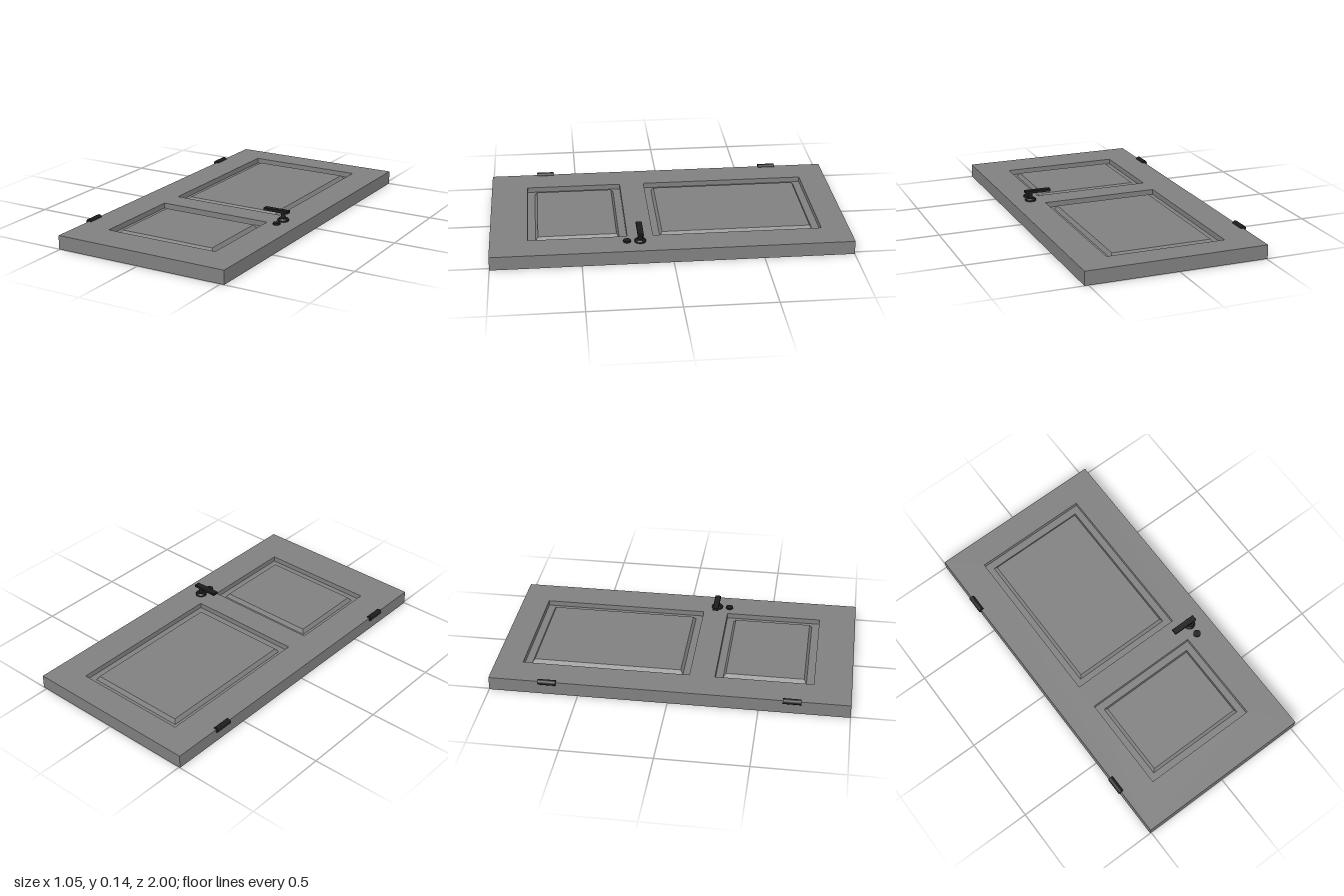
import * as THREE from 'three';

const TOP = 0.078; // slab thickness
const doorMat = new THREE.MeshStandardMaterial({ color: 0x808080, flatShading: true });
const metalMat = new THREE.MeshStandardMaterial({ color: 0x1c1c1c });
const facetedMetalMat = new THREE.MeshStandardMaterial({ color: 0x1c1c1c, flatShading: true });

// Recessed fields: x0, x1, z0, z1
const fields = [
  [-0.33, 0.343, -0.845, 0.1],
  [-0.33, 0.343, 0.243, 0.79],
];

function add(parent, name, geometry, material, x = 0, y = 0, z = 0) {
  const mesh = new THREE.Mesh(geometry, material);
  mesh.name = name;
  mesh.position.set(x, y, z);
  parent.add(mesh);
}

// Clockwise when z0 < z1 (openings), counter-clockwise when z0 > z1 (outline)
function rectangle(path, x0, x1, z0, z1) {
  path.moveTo(x0, -z0).lineTo(x1, -z0).lineTo(x1, -z1).lineTo(x0, -z1).closePath();
  return path;
}

// Box whose outward face (up for side 1, down for side -1) is drawn in to form a bevel
function raisedPanel(w, d, h, inset, side) {
  const g = new THREE.BoxGeometry(w, h, d);
  const p = g.attributes.position;
  for (let i = 0; i < p.count; i++) {
    if (p.getY(i) * side > 0) {
      p.setX(i, p.getX(i) - Math.sign(p.getX(i)) * inset);
      p.setZ(i, p.getZ(i) - Math.sign(p.getZ(i)) * inset);
    }
  }
  g.computeVertexNormals();
  return g;
}

export function createModel() {
  const door = new THREE.Group();
  door.name = 'door';

  // Frame with two openings
  const outline = rectangle(new THREE.Shape(), -0.507, 0.522, 1, -1);
  for (const f of fields) outline.holes.push(rectangle(new THREE.Path(), ...f));
  const frame = new THREE.ExtrudeGeometry(outline, { depth: TOP, bevelEnabled: false });
  frame.rotateX(-Math.PI / 2);
  add(door, 'frame', frame, doorMat);

  // Recessed floor with a raised panel on each face
  for (const [x0, x1, z0, z1] of fields) {
    const w = x1 - x0, d = z1 - z0, x = (x0 + x1) / 2, z = (z0 + z1) / 2;
    add(door, 'recessFloor', new THREE.BoxGeometry(w, 0.018, d), doorMat, x, TOP / 2, z);
    for (const side of [1, -1]) {
      const panel = raisedPanel(w - 0.078, d - 0.083, 0.022, 0.014, side);
      add(door, side > 0 ? 'frontPanel' : 'backPanel', panel, doorMat, x, TOP / 2 + side * 0.02, z);
    }
  }

  // Hinge barrels
  for (const z of [-0.67, 0.682]) {
    const barrel = new THREE.CylinderGeometry(0.016, 0.016, 0.1, 16);
    barrel.rotateX(Math.PI / 2);
    add(door, 'hinge', barrel, metalMat, -0.507, 0.076, z);
  }

  // Lever handle: chamfered rosette, stem and flat lever
  const handle = new THREE.Group();
  handle.name = 'handle';
  handle.position.set(0.408, TOP, 0.175);
  door.add(handle);
  const profile = [[0, 0], [0.032, 0], [0.032, 0.008], [0.025, 0.016], [0, 0.016]];
  const rosette = new THREE.LatheGeometry(profile.map(([r, y]) => new THREE.Vector2(r, y)), 24);
  add(handle, 'rosette', rosette, facetedMetalMat);
  add(handle, 'stem', new THREE.CylinderGeometry(0.012, 0.012, 0.036, 20), metalMat, 0, 0.03);
  add(handle, 'lever', new THREE.BoxGeometry(0.15, 0.015, 0.033), metalMat, -0.042, 0.053);

  // Lock cover
  add(door, 'lockCover', new THREE.CylinderGeometry(0.021, 0.021, 0.01, 24), metalMat, 0.406, TOP + 0.005, 0.248);

  return door;
}
